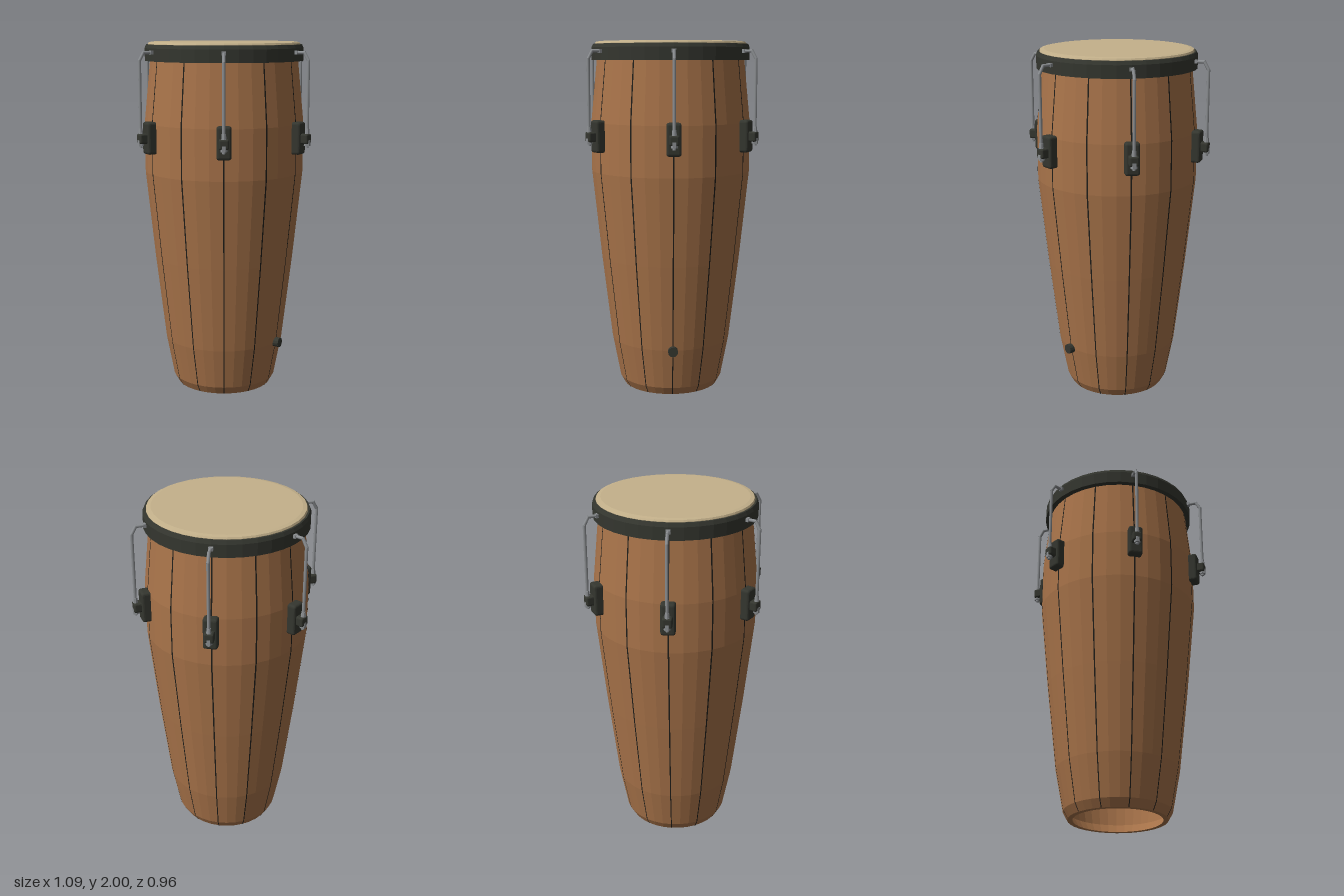
import * as THREE from 'three';
import { RoundedBoxGeometry } from 'three/addons/geometries/RoundedBoxGeometry.js';

const SIDES = 36, STAVES = 12, LUGS = 6;

// Outer barrel profile: [radius, height], bottom to top
const PROFILE = [
  [0.275, 0], [0.3, 0.045], [0.345, 0.28], [0.403, 0.77],
  [0.455, 1.27], [0.455, 1.55], [0.42, 1.9], [0.414, 1.965],
];

const v2 = (pts) => pts.map(([r, y]) => new THREE.Vector2(r, y));

// Faceted normals
function flat(geometry) {
  const g = geometry.index ? geometry.toNonIndexed() : geometry;
  g.computeVertexNormals();
  return g;
}

function add(parent, name, geometry, material, x = 0, y = 0, z = 0) {
  const mesh = new THREE.Mesh(geometry, material);
  mesh.name = name;
  mesh.position.set(x, y, z);
  parent.add(mesh);
  return mesh;
}

// Straight round bar between two points in the xy plane
function bar(parent, name, [x1, y1], [x2, y2], radius, material) {
  const dx = x2 - x1, dy = y2 - y1;
  const geometry = new THREE.CylinderGeometry(radius, radius, Math.hypot(dx, dy) + 0.006, 8);
  const mesh = add(parent, name, geometry, material, (x1 + x2) / 2, (y1 + y2) / 2);
  mesh.rotation.z = Math.atan2(-dx, dy);
  return mesh;
}

// Tension lug on the +x side: plate, block, hooked rod and nuts
function createLug(dark, steel) {
  const lug = new THREE.Group();
  lug.name = 'tensionLug';
  add(lug, 'lugPlate', flat(new RoundedBoxGeometry(0.06, 0.178, 0.08, 2, 0.014)), dark, 0.47, 1.479);
  add(lug, 'lugBlock', flat(new RoundedBoxGeometry(0.06, 0.055, 0.054, 2, 0.01)), dark, 0.511, 1.478);
  const path = [[0.527, 1.432], [0.527, 1.902], [0.503, 1.944], [0.442, 1.944]];
  for (let i = 0; i < path.length - 1; i++) {
    bar(lug, 'tensionRod', path[i], path[i + 1], 0.009, steel);
  }
  // Flat hook end gripping the hoop
  add(lug, 'rodHook', new THREE.BoxGeometry(0.024, 0.02, 0.024), steel, 0.452, 1.944);
  add(lug, 'tensionNut', flat(new THREE.CylinderGeometry(0.018, 0.018, 0.032, 6)), steel, 0.527, 1.455);
  add(lug, 'rodCollar', flat(new THREE.CylinderGeometry(0.011, 0.014, 0.03, 8)), steel, 0.527, 1.52);
  return lug;
}

export function createModel() {
  const material = (name, color) => {
    const m = new THREE.MeshStandardMaterial({ color });
    m.name = name;
    return m;
  };
  const wood = material('wood', 0xa9744a);
  const dark = material('darkMetal', 0x34362f);
  const steel = material('steel', 0x8c8f92);
  const hide = material('hide', 0xc4b18b);
  const seamDark = material('seam', 0x1f1e1a);
  hide.side = THREE.DoubleSide;

  const drum = new THREE.Group();
  drum.name = 'handDrum';

  // Hollow barrel with a closed wall section
  const inner = PROFILE.map(([r, y]) => [r - 0.028, y]).reverse();
  const section = [[PROFILE[0][0] - 0.028, 0], ...PROFILE, ...inner];
  add(drum, 'barrel', flat(new THREE.LatheGeometry(v2(section), SIDES)), wood);

  // Thin dark joints between the staves
  const seamLine = v2(PROFILE.map(([r, y]) => [r + 0.002, y]));
  for (let i = 0; i < STAVES; i++) {
    const angle = (i / STAVES) * Math.PI * 2;
    add(drum, 'staveSeam', new THREE.LatheGeometry(seamLine, 2, angle - 0.009, 0.018), seamDark);
  }

  // Hoop
  const hoop = [
    [0.412, 1.895], [0.45, 1.895], [0.45, 1.965], [0.441, 1.985],
    [0.431, 1.985], [0.425, 1.965], [0.412, 1.895],
  ];
  add(drum, 'hoop', flat(new THREE.LatheGeometry(v2(hoop), SIDES)), dark);

  // Drumhead with a rolled edge
  const head = [[0.428, 1.955], [0.431, 1.987], [0.426, 1.996], [0.405, 2], [0, 2]];
  add(drum, 'drumhead', flat(new THREE.LatheGeometry(v2(head), SIDES)), hide);

  // Six lugs around the barrel
  for (let i = 0; i < LUGS; i++) {
    const lug = createLug(dark, steel);
    lug.rotation.y = (i / LUGS) * Math.PI * 2;
    drum.add(lug);
  }

  // Vent plug low on the left side
  const plug = add(drum, 'ventPlug', flat(new THREE.CylinderGeometry(0.028, 0.028, 0.05, 12)), dark, 0.35, 0.28);
  plug.rotation.z = -Math.PI / 2;

  return drum;
}
